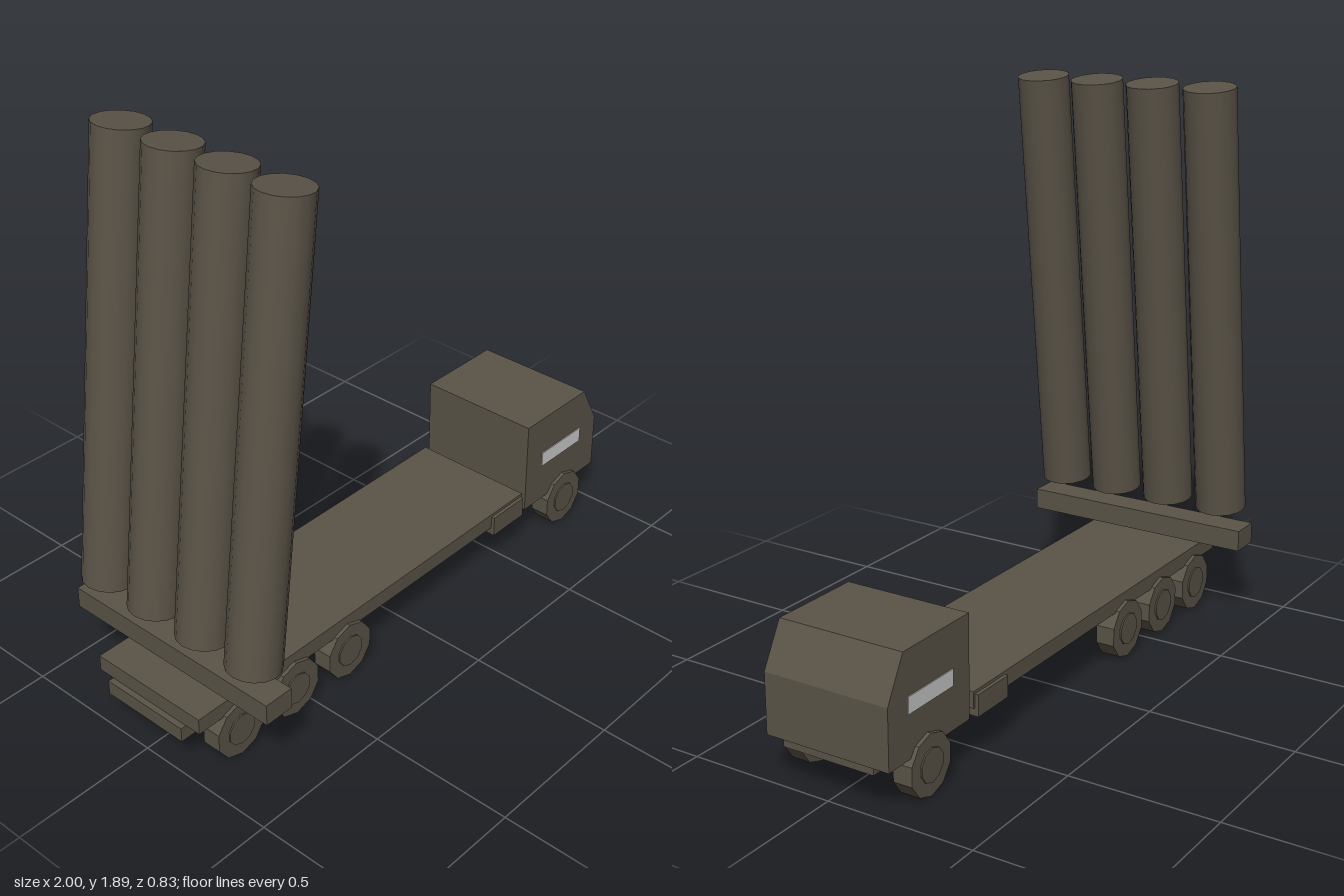
import * as THREE from 'three';

export function createModel() {
  const model = new THREE.Group();
  model.name = 'launcherTruck';
  const olive = new THREE.MeshStandardMaterial({ color: 0x5a5347 });
  olive.name = 'olive drab';
  const glass = new THREE.MeshStandardMaterial({ color: 0xcccccc });
  glass.name = 'pale glass';

  const add = (name, geometry, material = olive, parent = model) => {
    const mesh = new THREE.Mesh(geometry, material);
    mesh.name = name;
    parent.add(mesh);
    return mesh;
  };
  // Box given by its extents on each axis
  const box = (name, x0, x1, y0, y1, z0, z1, material) => {
    const mesh = add(name, new THREE.BoxGeometry(x1 - x0, y1 - y0, z1 - z0), material);
    mesh.position.set((x0 + x1) / 2, (y0 + y1) / 2, (z0 + z1) / 2);
    return mesh;
  };

  // Chassis, flat deck and launcher crossbar
  box('chassis', -1, 0.995, 0.125, 0.175, -0.162, 0.162);
  box('deck', -0.98, 0.58, 0.175, 0.23, -0.22, 0.22);
  box('crossbar', -0.89, -0.785, 0.267, 0.34, -0.415, 0.415);

  // Cab with a sloped front
  const profile = new THREE.Shape([
    [0.6, 0.15], [1, 0.15], [1, 0.35], [0.925, 0.49], [0.6, 0.49],
  ].map(([x, y]) => new THREE.Vector2(x, y)));
  const cab = new THREE.ExtrudeGeometry(profile, { depth: 0.44, bevelEnabled: false });
  cab.translate(0, 0, -0.22);
  add('cab', cab);

  // Parts mirrored on both sides
  const wheelGeometry = new THREE.CylinderGeometry(0.1, 0.1, 0.066, 10).rotateX(Math.PI / 2);
  const hubGeometry = new THREE.CylinderGeometry(0.055, 0.055, 0.006, 10).rotateX(Math.PI / 2);
  wheelGeometry.deleteAttribute('normal');
  const flatWheel = wheelGeometry.toNonIndexed();
  flatWheel.computeVertexNormals();
  for (const side of [1, -1]) {
    const window = box('sideWindow', 0.687, 0.907, 0.293, 0.347, -0.002, 0.002, glass);
    window.position.z = side * 0.2215;
    const locker = box('sideLocker', 0.41, 0.572, 0.148, 0.22, -0.0325, 0.0325);
    locker.position.z = side * 0.2;
    for (const x of [-0.82, -0.575, -0.33, 0.815]) {
      const wheel = new THREE.Group();
      wheel.name = 'wheel';
      wheel.position.set(x, 0.1, side * 0.2);
      add('tyre', flatWheel, olive, wheel);
      add('hub', hubGeometry, olive, wheel).position.z = side * 0.035;
      model.add(wheel);
    }
  }

  // Four raised launch tubes, leaning forward
  const bottom = new THREE.Vector3(-0.838, 0.403, 0);
  const top = new THREE.Vector3(-0.658, 1.883, 0);
  const axis = top.clone().sub(bottom);
  const tubeGeometry = new THREE.CylinderGeometry(0.088, 0.088, axis.length(), 16);
  for (const z of [-0.315, -0.105, 0.105, 0.315]) {
    const tube = add('launchTube', tubeGeometry);
    tube.position.copy(bottom).add(top).multiplyScalar(0.5).setZ(z);
    tube.rotation.z = -Math.atan2(axis.x, axis.y);
  }
  return model;
}
